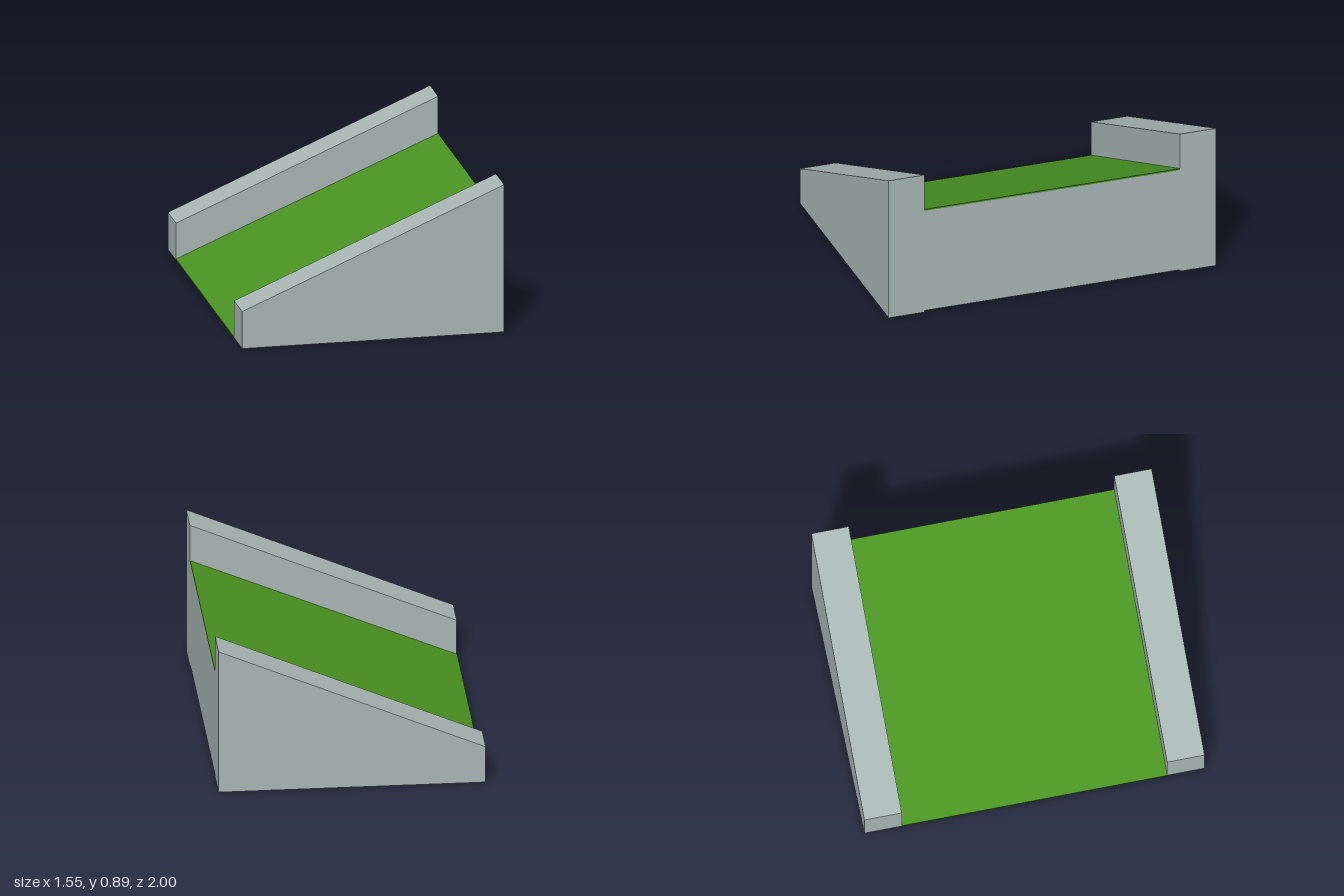
import * as THREE from 'three';

const grey = new THREE.MeshStandardMaterial({ color: 0xa9b7b4 });
grey.name = 'stone grey';
const green = new THREE.MeshStandardMaterial({ color: 0x4a9422 });
green.name = 'grass green';

// Extrude an x-y outline between two z positions
function slab(name, points, z0, z1, material) {
  const shape = new THREE.Shape(points.map(([x, y]) => new THREE.Vector2(x, y)));
  const geometry = new THREE.ExtrudeGeometry(shape, { depth: z1 - z0, bevelEnabled: false });
  geometry.translate(0, 0, z0);
  const mesh = new THREE.Mesh(geometry, material);
  mesh.name = name;
  return mesh;
}

export function createModel() {
  const group = new THREE.Group();
  group.name = 'ramp';
  const inner = 0.78;

  // Sloping side walls, standing above the ramp surface
  const wall = (x0, x1) => [[x0, 0], [x1, 0], [x1, 0.887], [x0, 0.223]];
  group.add(slab('frontWall', wall(-0.772, 0.772), inner, 1, grey));
  group.add(slab('backWall', wall(-0.775, 0.77), -1, -inner, grey));

  // Thin sloping grass surface, hollow underneath
  group.add(slab('rampSurface',
    [[-0.775, 0], [0.77, 0.654], [0.77, 0.664], [-0.775, 0.008]], -inner, inner, green));

  // Thin upright panel closing the high end, just clear of the ground
  group.add(slab('endPanel',
    [[0.76, 0.01], [0.77, 0.01], [0.77, 0.654], [0.76, 0.65]], -inner, inner, grey));

  return group;
}
